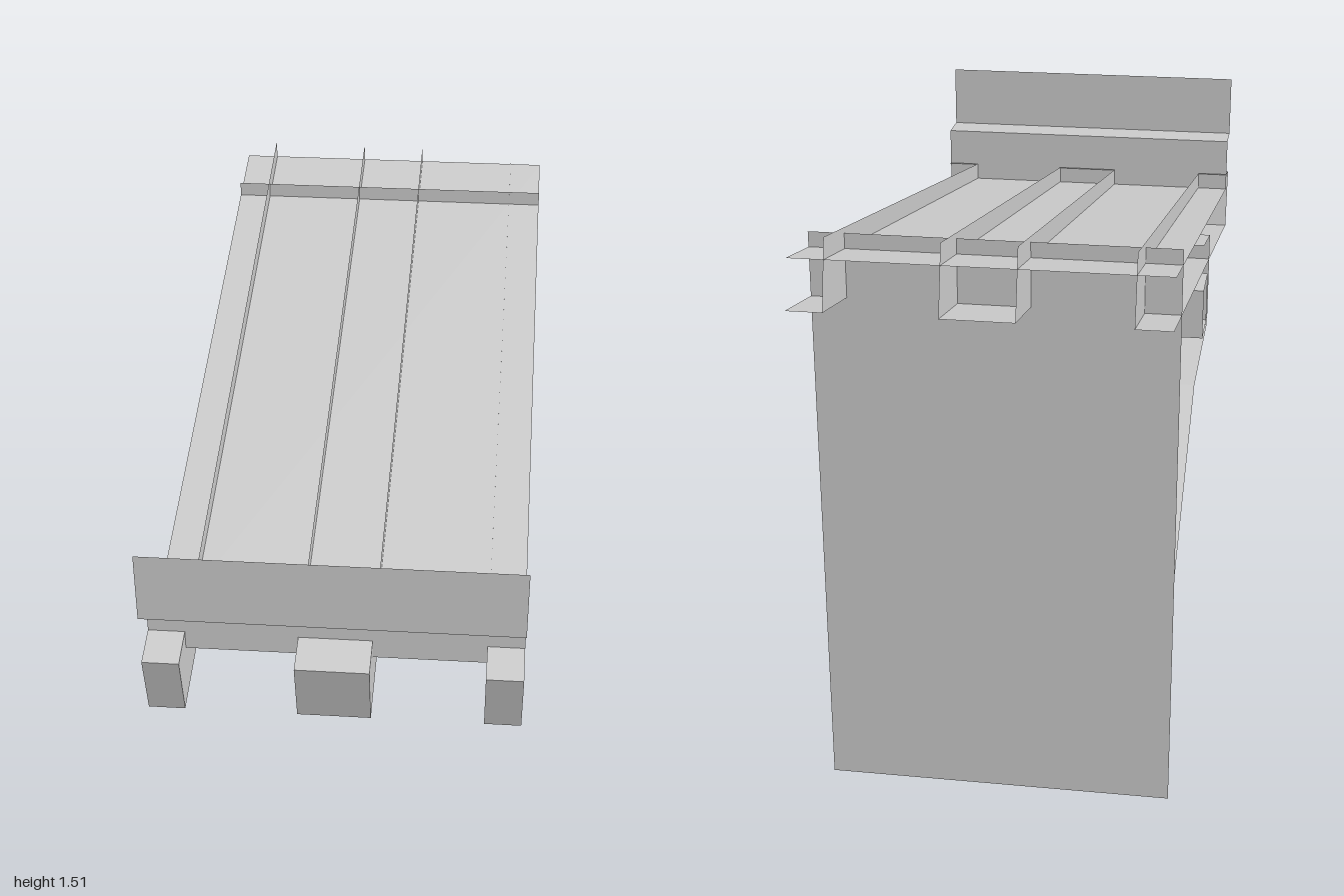
import * as THREE from 'three';

const HALF = 0.43;          // half width of the canopy
const SLOPE = 0.204;        // roof rise towards the back
const material = new THREE.MeshStandardMaterial({
  color: 0xcccccc, flatShading: true, side: THREE.DoubleSide,
});

function mesh(name, geometry) {
  const m = new THREE.Mesh(geometry, material);
  m.name = name;
  return m;
}

// Sheet swept along x from x0 to x1 over a path of [z, y] points
function sheet(name, x0, x1, path) {
  const pos = [];
  for (let i = 0; i < path.length - 1; i++) {
    const [za, ya] = path[i], [zb, yb] = path[i + 1];
    pos.push(x0, ya, za, x1, ya, za, x1, yb, zb, x0, ya, za, x1, yb, zb, x0, yb, zb);
  }
  const g = new THREE.BufferGeometry();
  g.setAttribute('position', new THREE.Float32BufferAttribute(pos, 3));
  g.computeVertexNormals();
  return mesh(name, g);
}

// Flat upright panel at a given x, outlined by [z, y] points
function sidePanel(name, x, outline) {
  const shape = new THREE.Shape(outline.map(([z, y]) => new THREE.Vector2(-z, y)));
  const g = new THREE.ShapeGeometry(shape).rotateY(Math.PI / 2);
  g.translate(x, 0, 0);
  return mesh(name, g);
}

export function createModel() {
  const model = new THREE.Group();
  model.name = 'canopy';

  // Back wall, passing up through the roof
  model.add(sheet('backWall', -HALF, HALF, [[-0.78, 0], [-0.78, 1.457]]));

  // Sloping roof panel
  model.add(sheet('roofPanel', -HALF, HALF, [[0.905, 1.08], [-0.97, 1.458]]));

  // Stepped fascia along the front edge
  model.add(sheet('fascia', -HALF, HALF,
    [[0.905, 1.08], [0.905, 1.23], [1, 1.23], [1, 1.4]]));

  // Rafters: short top cover, front cap and full-length bottom
  const topFront = [1, 1.107], bottomFront = [0.96, 0.945];
  const topBack = [-0.96, 1.507], bottomBack = [-1, 1.345];
  const coverEnd = [0.885, 1.107 + 0.115 * SLOPE];
  for (const [x0, x1] of [[-HALF, -0.345], [-0.085, 0.085], [0.345, HALF]]) {
    model.add(sheet('rafter', x0, x1, [coverEnd, topFront, bottomFront, bottomBack]));
  }
  for (const x of [-0.345, -0.085, 0.085, 0.345]) {
    model.add(sidePanel('rafterSide', x, [topFront, bottomFront, bottomBack, topBack]));
  }

  // Brackets: inner web with an outward flange round the edge
  const edge = [[-0.78, 0.63], [-0.28, 0.92], [0.155, 0.92], [0.17, 0.935], [0.17, 1.175]];
  for (const s of [-1, 1]) {
    const bracket = new THREE.Group();
    bracket.name = 'bracket';
    bracket.add(sidePanel('bracketWeb', s * 0.325,
      [...edge.slice(0, 4), [0.17, 1.107], [-0.78, 1.301]]));
    bracket.add(sheet('bracketFlange', s * 0.325, s * HALF, [...edge, [-0.06, 1.222]]));
    model.add(bracket);
  }

  // Open square tube joining the brackets
  model.add(sheet('crossbar', -HALF, HALF,
    [[0.125, 0.945], [0.125, 1.08], [-0.015, 1.08], [-0.015, 0.945], [0.125, 0.945]]));

  return model;
}
